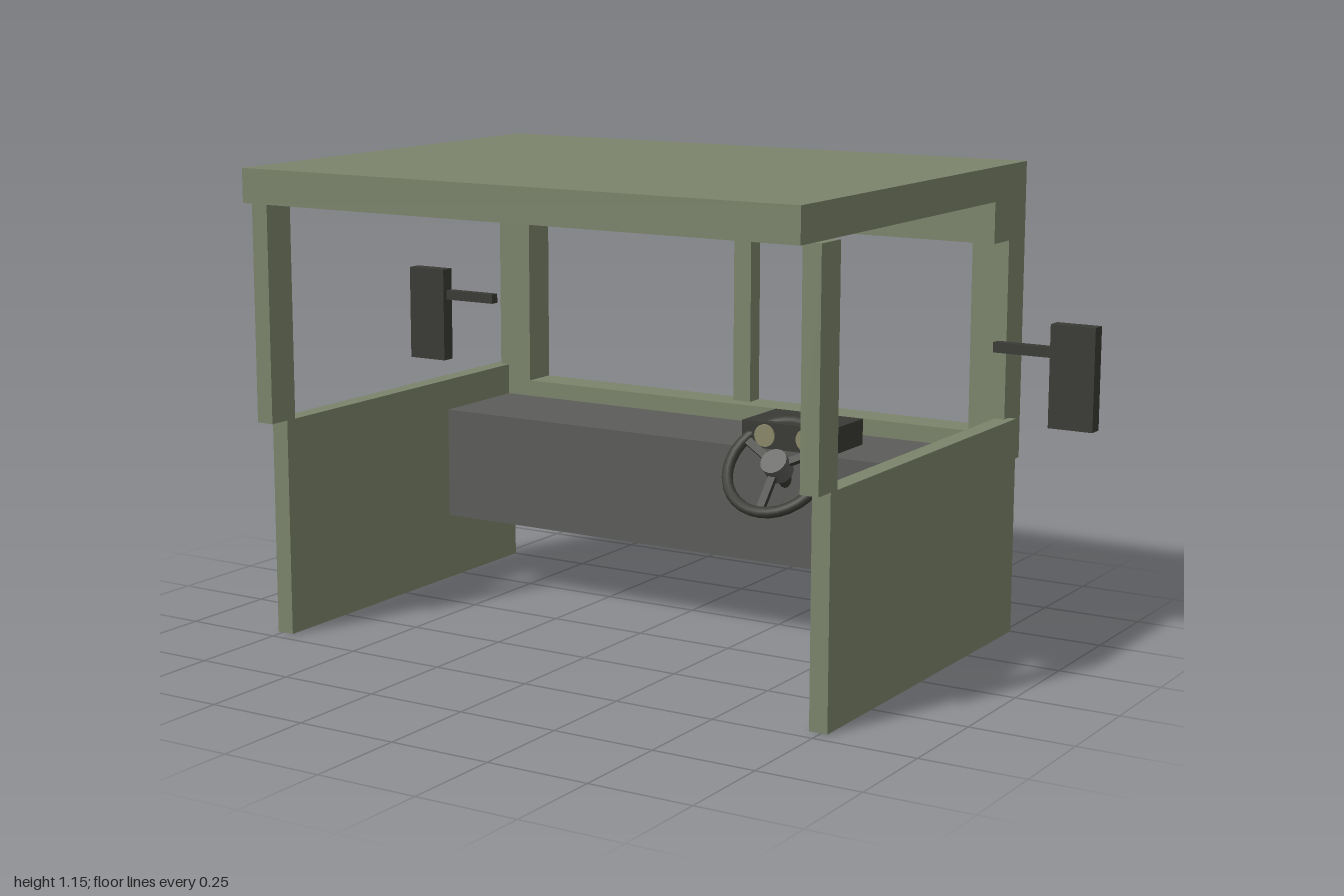
import * as THREE from 'three';

export function createModel() {
  const model = new THREE.Group();
  model.name = 'vehicleCab';

  const material = (name, color) => {
    const m = new THREE.MeshStandardMaterial({ color });
    m.name = name;
    return m;
  };
  const green = material('olive green paint', 0x7b846b);
  const grey = material('dashboard grey', 0x5c5c5a);
  const dark = material('dark trim', 0x3a3a35);
  const beige = material('gauge face', 0x8a8868);

  const add = (name, geometry, mat, parent = model) => {
    const mesh = new THREE.Mesh(geometry, mat);
    mesh.name = name;
    parent.add(mesh);
    return mesh;
  };
  // Box given by its limits on each axis
  const box = (name, mat, [x0, x1], [y0, y1], [z0, z1]) => {
    const mesh = add(name, new THREE.BoxGeometry(x1 - x0, y1 - y0, z1 - z0), mat);
    mesh.position.set((x0 + x1) / 2, (y0 + y1) / 2, (z0 + z1) / 2);
    return mesh;
  };

  // Roof and windscreen frame
  box('roof', green, [-0.745, 0.745], [1.072, 1.155], [-0.567, 0.57]);
  box('windscreenHeader', green, [-0.745, 0.745], [0.972, 1.072], [-0.567, -0.39]);
  box('windscreenSill', green, [-0.745, 0.745], [0.425, 0.497], [-0.567, -0.475]);
  box('windscreenDivider', green, [-0.04, 0.01], [0.497, 0.972], [-0.567, -0.52]);

  // Dashboard and instrument box
  box('dashboard', grey, [-0.72, 0.72], [0.17, 0.455], [-0.527, -0.195]);
  box('instrumentBox', dark, [0.17, 0.415], [0.455, 0.52], [-0.37, -0.2]);
  for (const x of [0.235, 0.35]) {
    const gauge = add('gauge', new THREE.CylinderGeometry(0.028, 0.028, 0.006, 20), beige);
    gauge.rotation.x = Math.PI / 2;
    gauge.position.set(x, 0.488, -0.198);
  }

  // Mirrored side parts
  for (const side of [-1, 1]) {
    const span = (a, b) => (side > 0 ? [a, b] : [-b, -a]);
    const label = side > 0 ? 'left' : 'right';
    box(label + 'WindscreenPost', green, span(0.65, 0.745), [0.497, 0.972], [-0.567, -0.475]);
    box(label + 'Door', green, span(0.72, 0.765), [0, 0.535], [-0.5, 0.46]);
    box(label + 'RoofPost', green, span(0.72, 0.765), [0.535, 1.072], [0.43, 0.515]);
    box(label + 'MirrorArm', dark, span(0.735, 0.89), [0.707, 0.732], [-0.445, -0.42]);
    box(label + 'Mirror', dark, span(0.887, 1), [0.54, 0.79], [-0.445, -0.407]);
  }

  // Steering wheel, tilted towards the driver
  const wheel = new THREE.Group();
  wheel.name = 'steeringWheel';
  wheel.position.set(0.293, 0.425, -0.157);
  wheel.rotation.x = -0.73;
  model.add(wheel);
  add('wheelRim', new THREE.TorusGeometry(0.13, 0.014, 10, 32), dark, wheel);
  const hub = add('wheelHub', new THREE.CylinderGeometry(0.034, 0.034, 0.05, 20), grey, wheel);
  hub.rotation.x = Math.PI / 2;
  const column = add('steeringColumn', new THREE.CylinderGeometry(0.02, 0.02, 0.12, 16), dark, wheel);
  column.rotation.x = Math.PI / 2;
  column.position.z = -0.07;
  for (let i = 0; i < 3; i++) {
    const angle = -Math.PI / 2 + (i * Math.PI * 2) / 3;
    const spoke = add('wheelSpoke', new THREE.BoxGeometry(0.11, 0.02, 0.012), dark, wheel);
    spoke.position.set(Math.cos(angle) * 0.075, Math.sin(angle) * 0.075, 0);
    spoke.rotation.z = angle;
  }

  return model;
}
